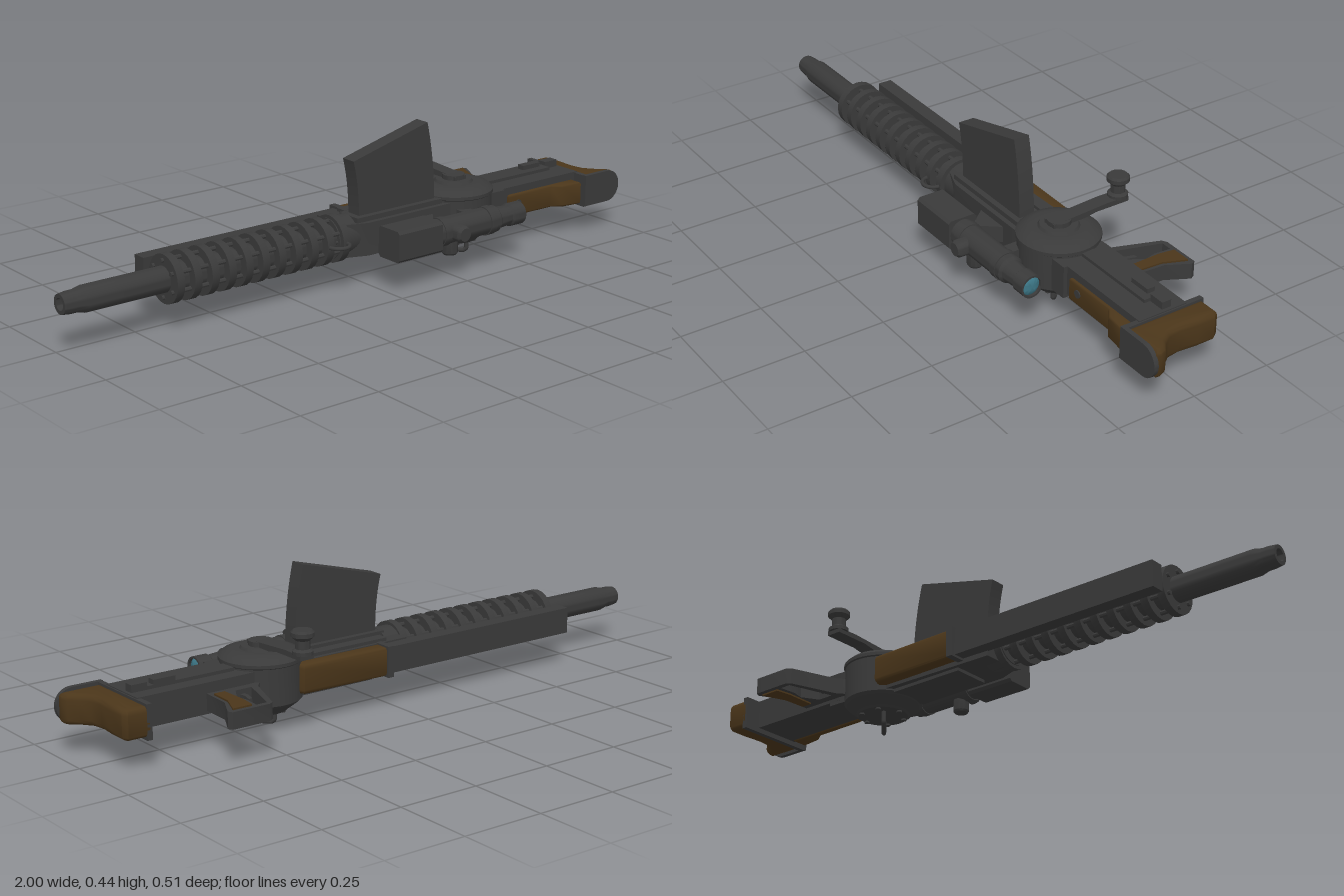
import * as THREE from 'three';
import { toCreasedNormals } from 'three/addons/utils/BufferGeometryUtils.js';

const mat = (name, color, extra = {}) => {
  const m = new THREE.MeshStandardMaterial({ color, ...extra });
  m.name = name;
  return m;
};

export function createModel() {
  const steel = mat('gunmetal', 0x3a3a3a);
  const wood = mat('dark wood', 0x4b361a);
  const glass = mat('lens glass', 0x3c7686);
  const root = new THREE.Group();
  const AY = 0.145; // height of the main axis

  const add = (name, geo, m = steel, x = 0, y = 0, z = 0) => {
    const mesh = new THREE.Mesh(geo, m);
    mesh.name = name;
    mesh.position.set(x, y, z);
    root.add(mesh);
    return mesh;
  };
  // box given by its limits
  const box = (name, x0, x1, y0, y1, z0, z1, m) =>
    add(name, new THREE.BoxGeometry(x1 - x0, y1 - y0, z1 - z0), m, (x0 + x1) / 2, (y0 + y1) / 2, (z0 + z1) / 2);
  const polygon = (pts) => new THREE.Shape(pts.map(([a, b]) => new THREE.Vector2(a, b)));
  // outline in x/z, raised from y0 to y1, optionally with rounded edges
  const slab = (name, pts, y0, y1, m = steel, bevel = 0, hole = null) => {
    const shape = polygon(pts.map(([x, z]) => [x, -z]));
    if (hole) shape.holes.push(polygon(hole.map(([x, z]) => [x, -z])));
    const geo = new THREE.ExtrudeGeometry(shape, {
      depth: y1 - y0 - 2 * bevel, bevelEnabled: bevel > 0, bevelSize: bevel,
      bevelThickness: bevel, bevelOffset: -bevel, bevelSegments: 4,
    });
    geo.rotateX(-Math.PI / 2);
    return add(name, toCreasedNormals(geo, 0.6), m, 0, y0 + bevel, 0);
  };
  // turned part; profile pairs are [radius, distance along axis]
  const turned = (name, profile, axis, x, y, z, m = steel, sides = 32) => {
    const geo = new THREE.LatheGeometry(profile.map(([r, d]) => new THREE.Vector2(r, d)), sides);
    if (axis === 'x') geo.rotateZ(-Math.PI / 2);
    if (axis === 'z') geo.rotateX(Math.PI / 2);
    return add(name, toCreasedNormals(geo, 0.6), m, x, y, z);
  };
  const disc = (r, a, b) => [[0, a], [r, a], [r, b], [0, b]];
  const tube = (name, pts, r, closed = false) => {
    const path = new THREE.CurvePath();
    const v = pts.map((p) => new THREE.Vector3(...p));
    if (closed) v.push(v[0]);
    for (let i = 0; i < v.length - 1; i++) path.add(new THREE.LineCurve3(v[i], v[i + 1]));
    return add(name, new THREE.TubeGeometry(path, 48, r, 10, false));
  };

  // barrel with stepped muzzle and bore
  turned('barrel', [[0, -0.96], [0.018, -0.96], [0.018, -1], [0.029, -1], [0.032, -0.975], [0.032, -0.955],
    [0.038, -0.93], [0.038, -0.66], [0.045, -0.66], [0.045, -0.05], [0, -0.05]], 'x', 0, AY, 0.03);

  // cooling fins and the rods joining them
  for (let i = 0; i < 11; i++) {
    turned('coolingFin', disc(0.072, -0.012, 0.012), 'x', -0.66 + i * 0.0575, AY, 0.03, steel, 24);
  }
  for (let i = 0; i < 6; i++) {
    const a = (i / 6) * Math.PI * 2;
    turned('finRod', disc(0.007, -0.68, -0.08), 'x', 0, AY + 0.054 * Math.cos(a), 0.03 + 0.054 * Math.sin(a), steel, 8);
  }
  box('underBarrelRail', -0.68, 0.03, 0.105, 0.185, -0.1, -0.056);
  turned('barrelCollar', disc(0.062, -0.1, -0.02), 'x', 0, AY, 0.025);
  const ring = add('slingRing', new THREE.TorusGeometry(0.032, 0.006, 8, 24), steel, -0.115, AY, 0.1);
  ring.rotation.x = Math.PI / 2;

  // receiver
  slab('receiver', [[-0.07, -0.06], [0.54, -0.075], [0.54, 0.095], [0, 0.095], [-0.07, 0.07]], 0.09, 0.19);
  slab('magazineWell', [[-0.03, -0.005], [0.295, -0.005], [0.295, 0.08], [-0.03, 0.08]], 0.19, 0.205);
  box('receiverRib', 0.0, 0.3, 0.19, 0.2, -0.055, -0.02);
  box('receiverLowerPlate', 0.05, 0.3, 0.08, 0.09, -0.05, 0.07);

  // wooden foregrip
  slab('foregrip', [[0.035, -0.108], [0.33, -0.104], [0.35, -0.06], [0.035, -0.06]], 0.1, 0.19, wood, 0.014);
  box('foregripCap', 0.02, 0.04, 0.098, 0.192, -0.115, -0.055);

  // curved side magazine
  const mag = new THREE.Shape();
  mag.moveTo(-0.01, 0.185);
  mag.lineTo(0.28, 0.185);
  mag.quadraticCurveTo(0.28, 0.32, 0.25, 0.445);
  mag.lineTo(-0.03, 0.373);
  mag.quadraticCurveTo(-0.008, 0.29, -0.01, 0.185);
  const magGeo = new THREE.ExtrudeGeometry(mag, { depth: 0.05, bevelEnabled: false, curveSegments: 10 });
  add('magazine', toCreasedNormals(magGeo, 0.5), steel, 0, 0, 0.012);

  // round drum housing
  turned('drum', [[0, 0.048], [0.075, 0.048], [0.082, 0.055], [0.108, 0.075], [0.118, 0.085], [0.118, 0.195],
    [0.122, 0.198], [0.122, 0.208], [0.108, 0.22], [0.085, 0.228], [0.06, 0.228], [0.055, 0.236], [0, 0.236]],
  'y', 0.4, 0, 0.012, steel, 40);
  for (let i = 0; i < 6; i++) {
    const a = (i / 6) * Math.PI * 2;
    turned('drumBolt', disc(0.008, 0.043, 0.05), 'y', 0.4 + 0.066 * Math.cos(a), 0, 0.012 + 0.066 * Math.sin(a), steel, 8);
  }

  // crank arm, bent upward toward its knob
  turned('crankHub', disc(0.035, 0.23, 0.25), 'y', 0.4, 0, 0.012);
  const arm = new THREE.ExtrudeGeometry(
    polygon([[-0.045, 0.236], [0.06, 0.236], [0.1, 0.243], [0.213, 0.243], [0.213, 0.257], [0.14, 0.259], [-0.045, 0.248]]),
    { depth: 0.046, bevelEnabled: false });
  arm.rotateY(Math.PI / 2);
  add('crankArm', arm, steel, 0.377, 0, 0);
  turned('crankKnob', [[0, 0.255], [0.03, 0.255], [0.03, 0.266], [0.021, 0.272], [0.021, 0.296],
    [0.033, 0.307], [0.033, 0.319], [0.027, 0.325], [0, 0.325]], 'y', 0.4, 0, -0.192);

  // loop below the drum
  tube('lowerLoop', [[0.373, 0.055, -0.014], [0.373, 0.014, -0.014], [0.379, 0.007, -0.007],
    [0.421, 0.007, 0.04], [0.427, 0.014, 0.047], [0.427, 0.055, 0.047]], 0.007);

  // stock frame and cheek wood
  box('stockFrame', 0.5, 0.86, 0.1, 0.19, -0.075, 0.083);
  box('stockRail', 0.52, 0.8, 0.19, 0.2, -0.03, 0.02);
  box('rearCatch', 0.71, 0.78, 0.19, 0.214, -0.03, -0.005);
  box('rearCatch', 0.8, 0.85, 0.19, 0.212, -0.03, 0.0);
  slab('stockWood', [[0.56, 0.07], [0.84, 0.07], [0.84, 0.122], [0.77, 0.114], [0.74, 0.092], [0.56, 0.09]],
    0.095, 0.167, wood, 0.008);
  turned('stockScrew', disc(0.012, 0.088, 0.094), 'z', 0.6, 0.135, 0);

  // shoulder piece with metal edge plates
  slab('shoulderPiece', [[0.855, -0.13], [0.922, -0.13], [0.933, -0.115], [0.933, -0.06], [0.928, 0], [0.934, 0.04],
    [0.955, 0.068], [0.98, 0.088], [0.988, 0.108], [0.986, 0.125], [0.855, 0.125]], 0.092, 0.182, wood, 0.018);
  box('shoulderPlate', 0.848, 0.864, 0.085, 0.187, -0.13, 0.13);
  const cap = new THREE.Shape();
  cap.moveTo(0.848, 0.088);
  cap.lineTo(0.945, 0.088);
  cap.absarc(0.945, 0.138, 0.05, -Math.PI / 2, Math.PI / 2, false);
  cap.lineTo(0.848, 0.188);
  const capGeo = new THREE.ExtrudeGeometry(cap, { depth: 0.014, bevelEnabled: false });
  add('heelCap', toCreasedNormals(capGeo, 0.5), steel, 0, 0, 0.122);

  // pistol grip with guard opening, trigger and wooden side panels
  slab('gripFrame', [[0.46, -0.07], [0.49, -0.105], [0.54, -0.245], [0.555, -0.254], [0.675, -0.254], [0.682, -0.24],
    [0.645, -0.17], [0.64, -0.07]], 0.11, 0.159, steel, 0,
  [[0.51, -0.1], [0.562, -0.1], [0.592, -0.15], [0.583, -0.185], [0.588, -0.238], [0.553, -0.238]]);
  for (const [y0, y1] of [[0.105, 0.111], [0.158, 0.164]]) {
    slab('gripPanel', [[0.598, -0.1], [0.632, -0.1], [0.636, -0.17], [0.665, -0.24], [0.603, -0.24], [0.596, -0.19]], y0, y1, wood);
  }
  slab('trigger', [[0.53, -0.08], [0.55, -0.08], [0.545, -0.12], [0.553, -0.15], [0.54, -0.148], [0.532, -0.12]], 0.125, 0.145);

  // scope: square front housing, round body and eyepiece
  const hw = 0.047, c = 0.008;
  const housing = new THREE.ExtrudeGeometry(
    polygon([[-hw + c, -hw], [hw - c, -hw], [hw, -hw + c], [hw, hw - c], [hw - c, hw], [-hw + c, hw], [-hw, hw - c], [-hw, -hw + c]]),
    { depth: 0.165, bevelEnabled: false });
  housing.rotateY(Math.PI / 2);
  add('scopeHousing', housing, steel, 0.005, AY, 0.182);
  turned('scopeBody', [[0, 0.16], [0.041, 0.16], [0.041, 0.41], [0.034, 0.418], [0.03, 0.465], [0.035, 0.47],
    [0.035, 0.515], [0.029, 0.515], [0.029, 0.505], [0, 0.505]], 'x', 0, AY, 0.182);
  turned('scopeLens', [[0.029, 0], [0.022, 0.006], [0.012, 0.009], [0, 0.01]], 'x', 0.506, AY, 0.182, glass);
  for (const x of [0.2, 0.38]) turned('scopeBand', disc(0.044, -0.012, 0.012), 'x', x, AY, 0.182);
  turned('sideKnob', [[0, 0.2], [0.026, 0.2], [0.026, 0.245], [0.02, 0.254], [0, 0.254]], 'z', 0.237, AY, 0);
  turned('lowerKnob', [[0, 0.07], [0.02, 0.07], [0.024, 0.076], [0.024, 0.12], [0, 0.12]], 'y', 0.237, 0, 0.184);
  slab('scopeMount', [[0.13, 0.09], [0.25, 0.09], [0.205, 0.145], [0.175, 0.145]], 0.12, 0.17);
  box('scopeRearMount', 0.33, 0.37, 0.12, 0.17, 0.09, 0.15);

  return root;
}
